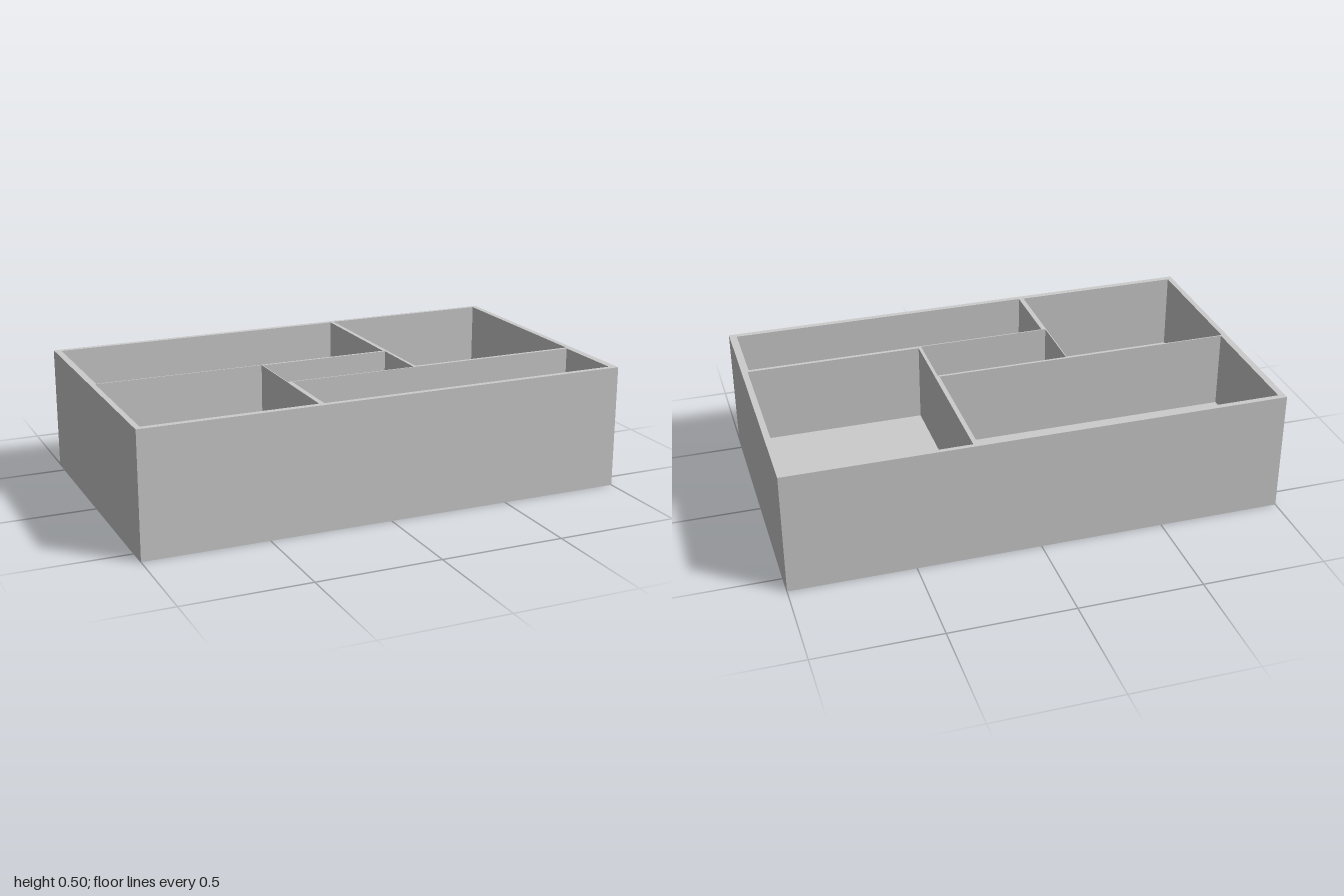
import * as THREE from 'three';

const WIDTH = 2, DEPTH = 1.17, HEIGHT = 0.5, FLOOR = 0.18;

// Compartment openings seen from above: [xMin, xMax, zMin, zMax]
const COMPARTMENTS = [
  [-0.973, 0.25, -0.562, -0.026],  // back right
  [0.268, 0.976, -0.567, 0.237],   // back left
  [-0.978, -0.292, -0.021, 0.56],  // front right
  [-0.288, 0.255, -0.015, 0.247],  // centre
  [-0.272, 0.97, 0.252, 0.562],    // front left
];

// Rectangle in plan; shape y is -z because the extrusion is tipped upright
function trace(path, [x0, x1, z0, z1]) {
  path.moveTo(x0, -z1);
  path.lineTo(x1, -z1);
  path.lineTo(x1, -z0);
  path.lineTo(x0, -z0);
  path.closePath();
  return path;
}

export function createModel() {
  const group = new THREE.Group();
  group.name = 'compartmentTray';
  const material = new THREE.MeshStandardMaterial({ color: 0xcccccc });

  // Outer walls and dividers
  const plan = trace(new THREE.Shape(), [-WIDTH / 2, WIDTH / 2, -DEPTH / 2, DEPTH / 2]);
  for (const c of COMPARTMENTS) plan.holes.push(trace(new THREE.Path(), c));
  const wallGeometry = new THREE.ExtrudeGeometry(plan, { depth: HEIGHT - FLOOR, bevelEnabled: false });
  wallGeometry.rotateX(-Math.PI / 2);
  const walls = new THREE.Mesh(wallGeometry, material);
  walls.name = 'wallsAndDividers';
  walls.position.y = FLOOR;

  // Solid base under the compartments
  const base = new THREE.Mesh(new THREE.BoxGeometry(WIDTH, FLOOR, DEPTH), material);
  base.name = 'base';
  base.position.y = FLOOR / 2;

  group.add(walls, base);
  return group;
}
